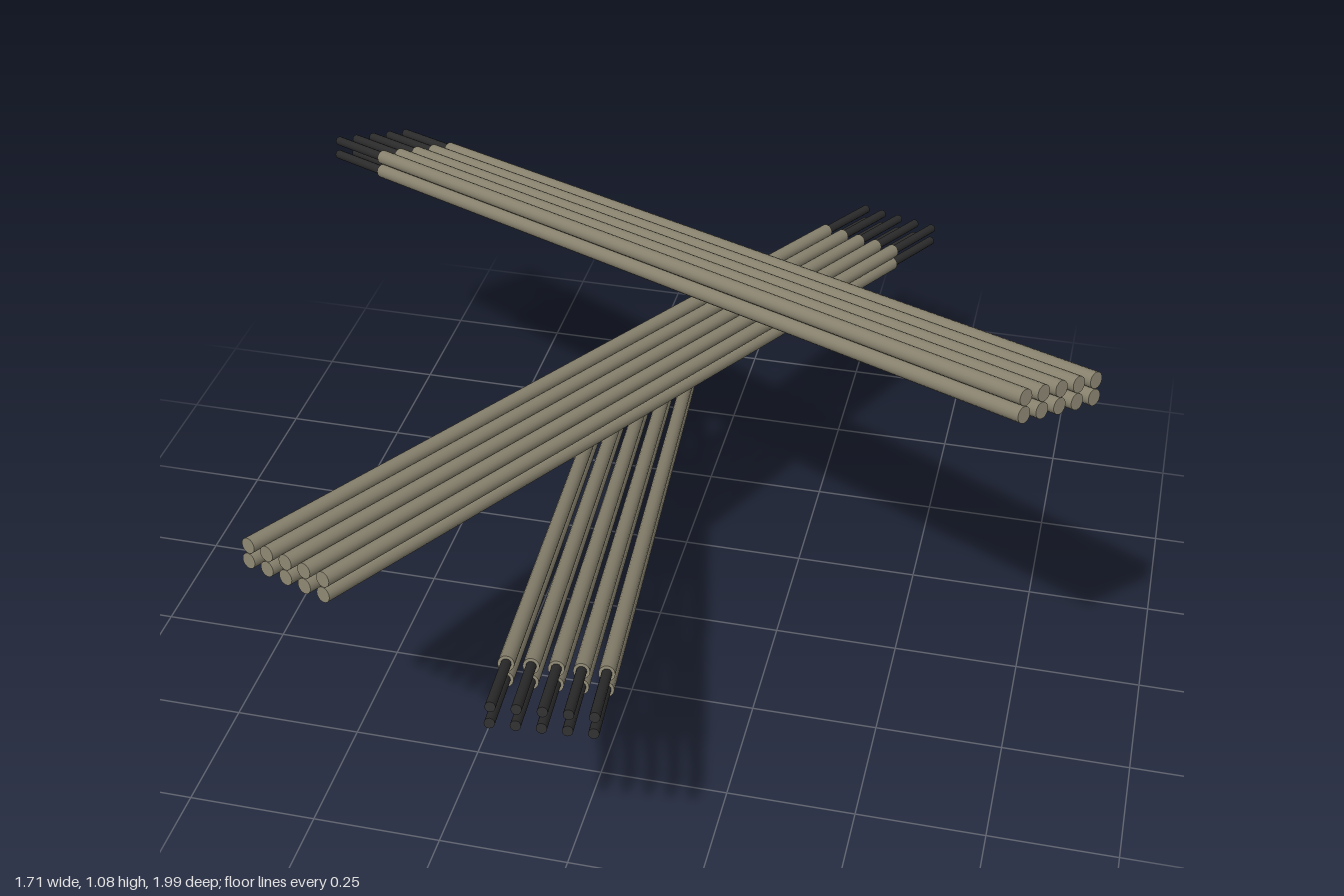
import * as THREE from 'three';

const LENGTH = 1.987, GRIP = 0.168;        // whole rod, bare end
const COAT_R = 0.0148, CORE_R = 0.0095;
const SPACING = 0.0438, LAYER = 0.03;      // between rods, between layers

export function createModel() {
  const coating = new THREE.MeshStandardMaterial({ color: 0x89836f });
  coating.name = 'grey beige coating';
  const metal = new THREE.MeshStandardMaterial({ color: 0x2b2b2b });
  metal.name = 'dark metal';

  // Rods run along +z, bare end first, centred on the origin
  const coatLength = LENGTH - GRIP;
  const coatGeo = new THREE.CylinderGeometry(COAT_R, COAT_R, coatLength, 16)
    .rotateX(Math.PI / 2).translate(0, 0, GRIP / 2);
  const coreGeo = new THREE.CylinderGeometry(CORE_R, CORE_R, GRIP, 12)
    .rotateX(Math.PI / 2).translate(0, 0, -coatLength / 2);

  // Two layers of five rods, lying in the plane y = height + slope * z
  function bundle(name, tip, end, height, slope) {
    const group = new THREE.Group();
    group.name = name;
    for (let layer = 0; layer < 2; layer++) {
      for (let i = 0; i < 5; i++) {
        const rod = new THREE.Group();
        rod.name = 'rod';
        const coat = new THREE.Mesh(coatGeo, coating);
        coat.name = 'rodCoating';
        const core = new THREE.Mesh(coreGeo, metal);
        core.name = 'bareEnd';
        rod.add(coat, core);
        rod.position.set((i - 2) * SPACING, (layer - 0.5) * LAYER, 0);
        group.add(rod);
      }
    }
    const onPlane = ([x, z]) => new THREE.Vector3(x, height + slope * z, z);
    const a = onPlane(tip), b = onPlane(end);
    const along = b.clone().sub(a).normalize();
    const up = new THREE.Vector3(0, 1, -slope).normalize();
    const side = up.clone().cross(along);
    group.quaternion.setFromRotationMatrix(new THREE.Matrix4().makeBasis(side, up, along));
    group.position.copy(a).add(b).multiplyScalar(0.5);
    return group;
  }

  const model = new THREE.Group();
  model.name = 'weldingRods';
  model.add(
    bundle('topBundle', [-0.80, -0.61], [0.80, 0.53], 0.884, 0.289),
    bundle('middleBundle', [0.335, -0.955], [-0.455, 0.855], 0.585, 0.134),
    bundle('bottomBundle', [0.03, 0.98], [-0.222, -0.93], 0.295, 0.276),
  );
  return model;
}
